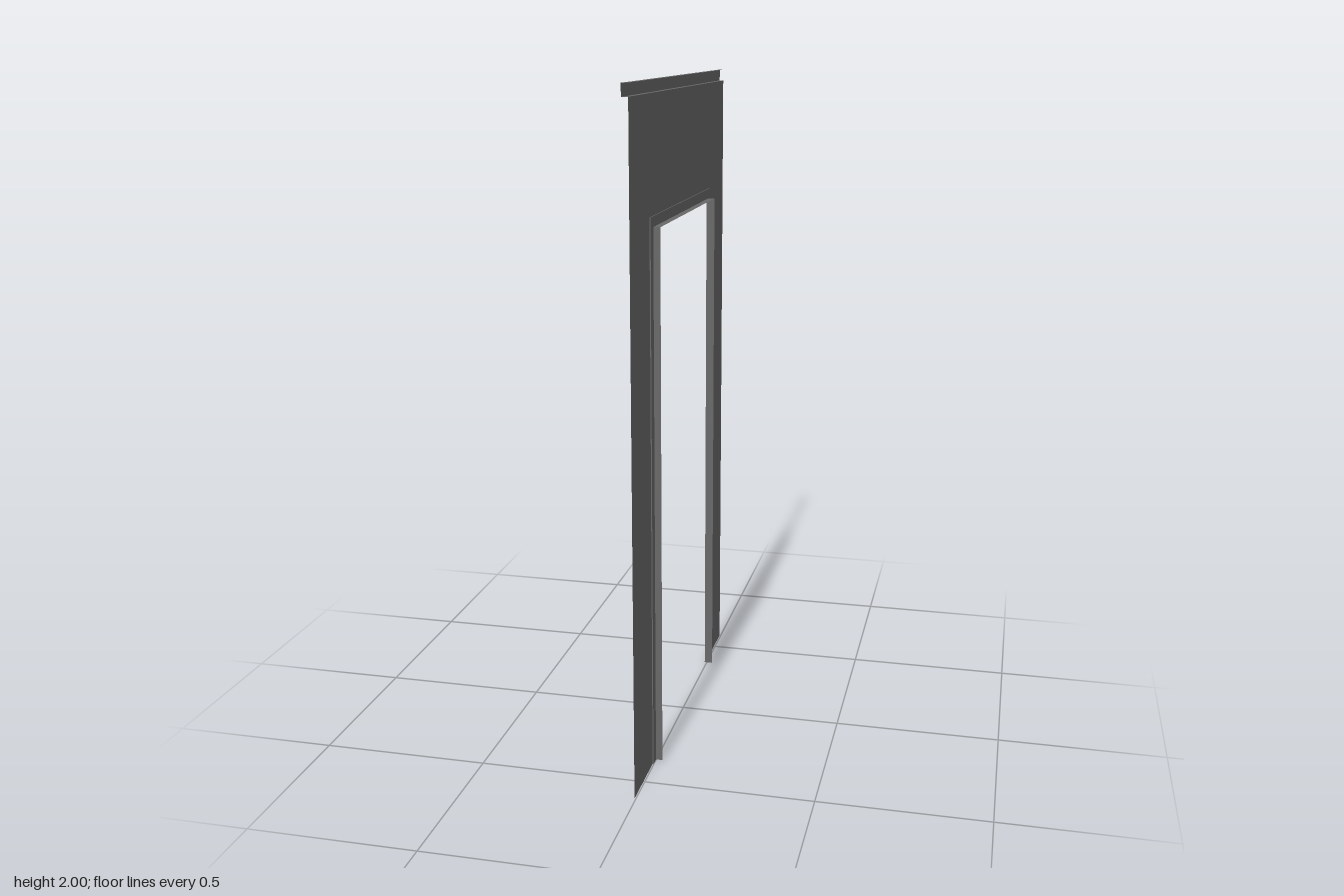
import * as THREE from 'three';

const TOP = 1.965, HALF = 0.6;         // wall panel
const OPEN = 0.36, OPEN_TOP = 1.605;   // doorway opening
const WALL_X = -0.004, FRONT_X = -0.019, JAMB_X = 0.019;

// Upside-down U outline around a doorway, drawn in (z, y)
function archShape(outer, outerTop) {
  return new THREE.Shape([
    [-outer, 0], [-OPEN, 0], [-OPEN, OPEN_TOP], [OPEN, OPEN_TOP],
    [OPEN, 0], [outer, 0], [outer, outerTop], [-outer, outerTop],
  ].map(([z, y]) => new THREE.Vector2(z, y)));
}

// Flat-shaded strip of quads joining two matching rows of points
function strip(rowA, rowB) {
  const pos = [];
  for (let i = 0; i < rowA.length - 1; i++) {
    const [a, b, c, d] = [rowA[i], rowA[i + 1], rowB[i + 1], rowB[i]];
    pos.push(...a, ...b, ...c, ...a, ...c, ...d);
  }
  const g = new THREE.BufferGeometry();
  g.setAttribute('position', new THREE.Float32BufferAttribute(pos, 3));
  g.computeVertexNormals();
  return g;
}

export function createModel() {
  const group = new THREE.Group();
  const grey = new THREE.MeshStandardMaterial({ color: 0x686868, side: THREE.DoubleSide });
  grey.name = 'paintedGrey';
  const add = (name, geometry) => {
    const mesh = new THREE.Mesh(geometry, grey);
    mesh.name = name;
    group.add(mesh);
    return mesh;
  };

  // Thin wall panel with the doorway cut out
  const wall = new THREE.ShapeGeometry(archShape(HALF, TOP));
  add('wallPanel', wall.rotateY(Math.PI / 2).translate(WALL_X, 0, 0));

  // Slim casing around the opening
  const casing = new THREE.ExtrudeGeometry(archShape(0.39, 1.635), { depth: 0.006, bevelEnabled: false });
  add('doorCasing', casing.rotateY(Math.PI / 2).translate(WALL_X - 0.003, 0, 0));

  // Jamb lining the opening and standing out on one side
  const jambRow = (x) => [[x, 0, OPEN], [x, OPEN_TOP, OPEN], [x, OPEN_TOP, -OPEN], [x, 0, -OPEN]];
  add('doorJamb', strip(jambRow(WALL_X), jambRow(JAMB_X)));

  // Hollow cap moulding with mitred, open ends
  const capRow = (s) => [
    [WALL_X, TOP, s * HALF], [FRONT_X, TOP, s * (HALF + 0.015)],
    [FRONT_X, 2, s * (HALF + 0.015)], [WALL_X, 2, s * HALF],
  ];
  add('capMoulding', strip(capRow(-1), capRow(1)));

  return group;
}
